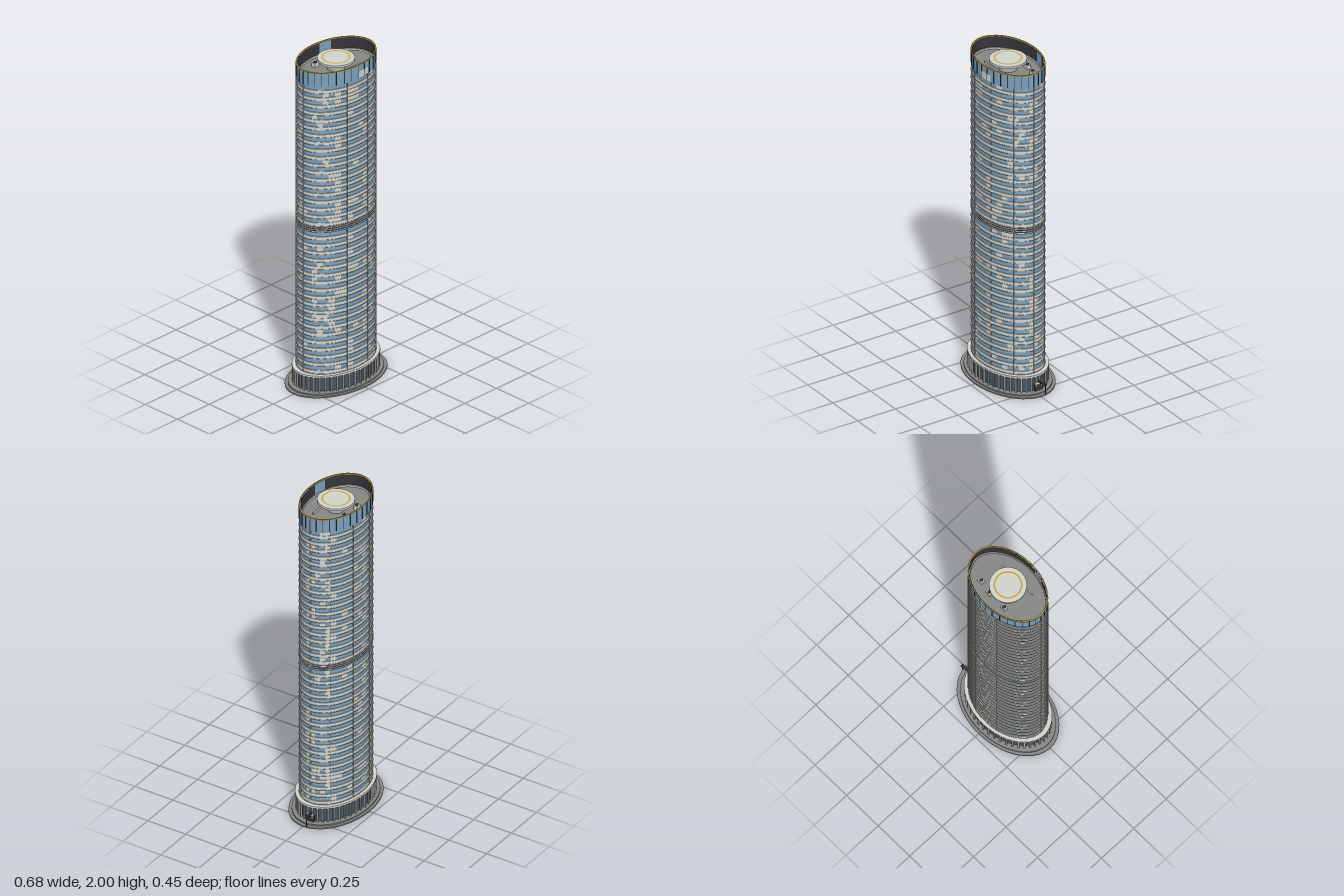
import * as THREE from 'three';
import { mergeGeometries } from 'three/addons/utils/BufferGeometryUtils.js';

const SIDES = 40;
const STEP = (Math.PI * 2) / SIDES;

function mat(name, color) {
  const m = new THREE.MeshStandardMaterial({ color });
  m.name = name;
  return m;
}

// Solid elliptical disc or drum between two heights
function drum(rx, rz, y0, y1, sides = SIDES) {
  return new THREE.CylinderGeometry(1, 1, y1 - y0, sides).scale(rx, 1, rz).translate(0, (y0 + y1) / 2, 0);
}

// One curved facade plate covering n facets from facet i
function plate(rx, rz, y0, y1, i, n = 1) {
  return new THREE.CylinderGeometry(1, 1, y1 - y0, n, 1, true, i * STEP, n * STEP)
    .scale(rx, 1, rz).translate(0, (y0 + y1) / 2, 0);
}

// Elliptical band with a rectangular section
function band(rx, rz, t, y0, y1) {
  const k = 1 - t / rx;
  const pts = [[k, y0], [1, y0], [1, y1], [k, y1], [k, y0]];
  const geos = [];
  for (let i = 0; i < 4; i++) {
    const pair = [pts[i], pts[i + 1]].map(p => new THREE.Vector2(...p));
    geos.push(new THREE.LatheGeometry(pair, SIDES).scale(rx, 1, rz));
  }
  return mergeGeometries(geos);
}

// Upright bars spaced evenly round an ellipse, facing outwards
function posts(count, rx, rz, y0, y1, w, d) {
  const geos = [];
  for (let i = 0; i < count; i++) {
    const a = (i / count) * Math.PI * 2;
    const face = Math.atan2(Math.cos(a) / rx, Math.sin(a) / rz);
    geos.push(new THREE.BoxGeometry(w, y1 - y0, d).rotateY(face)
      .translate(Math.cos(a) * rx, (y0 + y1) / 2, Math.sin(a) * rz));
  }
  return mergeGeometries(geos);
}

function box(w, h, d, x, y, z) {
  return new THREE.BoxGeometry(w, h, d).translate(x, y, z);
}

export function createModel() {
  const model = new THREE.Group();
  model.name = 'tower';
  const white = mat('off white panel', 0xd2d2cd);
  const glass = mat('blue glass', 0x7ba0bc);
  const lobbyGlass = mat('dark lobby glass', 0x465462);
  const grey = mat('grey paving', 0x858584);
  const column = mat('column grey', 0xa9abab);
  const dark = mat('charcoal metal', 0x34343a);
  const gold = mat('gold trim', 0xcaa544);
  dark.side = THREE.DoubleSide;

  const tower = new THREE.Group();
  tower.name = 'towerBody';
  tower.position.x = -0.004;
  model.add(tower);
  const add = (name, geo, material) => {
    const m = new THREE.Mesh(geo, material);
    m.name = name;
    tower.add(m);
    return m;
  };

  // Stepped plinth and colonnaded lobby
  add('plinthLower', drum(0.335, 0.225, 0, 0.008), grey);
  add('plinthUpper', drum(0.313, 0.21, 0.008, 0.016), grey);
  add('lobbyGlass', drum(0.268, 0.18, 0.016, 0.106), lobbyGlass);
  add('lobbyColumns', posts(44, 0.28, 0.19, 0.016, 0.106, 0.009, 0.009), column);
  add('lobbyRoof', drum(0.287, 0.196, 0.105, 0.117), white);

  // Glazed shaft
  const RX = 0.255, RZ = 0.171;
  add('shaftGlass', drum(RX, RZ, 0.117, 1.915), glass);

  // Floor bands and scattered solid panels on the two stacks of floors
  let seed = 7;
  const rand = () => (seed = (seed * 16807) % 2147483647) / 2147483647;
  const density = Array.from({ length: SIDES }, () => 0.03 + 0.2 * rand() * rand());
  for (const i of [1, 3, 9, 10, 13, 36, 38, 29, 20, 23]) density[i] = 0.3;
  const floors = [], slabs = [], panels = [];
  for (const [base, top] of [[0.117, 1.0], [1.04, 1.915]]) {
    const h = (top - base) / 19;
    for (let f = 0; f < 19; f++) {
      const y = base + f * h;
      floors.push(drum(0.26, 0.176, y + 0.003, y + 0.022));
      slabs.push(drum(0.262, 0.178, y, y + 0.004));
      for (let i = 0; i < SIDES; i++) {
        if (rand() < density[i]) panels.push(plate(RX + 0.002, RZ + 0.002, y + 0.02, y + h, i));
      }
    }
  }
  add('floorBands', mergeGeometries(floors), white);
  add('floorSlabs', mergeGeometries(slabs), column);
  add('solidPanels', mergeGeometries(panels), white);
  add('facadeFins', posts(10, 0.259, 0.175, 0.117, 1.915, 0.004, 0.006), column);

  // Louvred plant floor at mid height
  add('plantFloor', drum(0.258, 0.174, 1.0, 1.04), dark);
  const louvres = [1.006, 1.018, 1.03].map(y => drum(0.262, 0.178, y, y + 0.004));
  add('plantLouvres', mergeGeometries(louvres), white);

  // Crown: glass screen, dark lining, mullions and gold rim
  add('crownGlass', plate(0.259, 0.175, 1.912, 1.996, 0, SIDES), glass);
  add('crownLining', plate(0.252, 0.169, 1.912, 1.996, 0, SIDES), dark);
  add('crownMullions', posts(32, 0.259, 0.175, 1.915, 1.996, 0.004, 0.005), dark);
  add('crownPanel', plate(0.261, 0.177, 1.915, 1.958, 0, 2), white);
  add('crownRim', band(0.262, 0.178, 0.009, 1.994, 2.0), gold);
  const windows = [17, 37].map(i => {
    const g = plate(0.25, 0.167, 1.918, 1.994, i, 2);
    g.setIndex(Array.from(g.index.array).reverse()); // faces inwards
    for (const k of ['x', 'z']) {
      const n = g.attributes.normal;
      const c = k === 'x' ? 0 : 2;
      for (let v = 0; v < n.count; v++) n.setComponent(v, c, -n.getComponent(v, c));
    }
    return g;
  });
  add('crownInnerWindows', mergeGeometries(windows), glass);

  // Roof deck with kerb
  add('roofDeck', drum(0.25, 0.167, 1.912, 1.918), grey);
  add('roofKerb', band(0.251, 0.168, 0.006, 1.916, 1.928), white);
  add('roofRail', box(0.242, 0.012, 0.006, 0, 1.926, 0.072), white);

  // Rooftop cooling units
  for (const [x, z] of [[-0.066, -0.095], [0.055, -0.092], [0.135, -0.075]]) {
    add('coolingUnit', box(0.034, 0.024, 0.024, x, 1.93, z), white);
    add('coolingFan', drum(0.01, 0.01, 1.94, 1.945, 16).translate(x, 0, z), dark);
  }

  // Helicopter pad with ring marking
  add('padPedestal', drum(0.05, 0.05, 1.916, 1.972, 24), column);
  add('padDisc', drum(0.105, 0.105, 1.971, 1.984), white);
  const ring = new THREE.RingGeometry(0.071, 0.081, 48).rotateX(-Math.PI / 2);
  add('padRing', ring.translate(0, 1.986, 0), gold);

  // Side entrance: door, lit transom, canopy blade and post
  add('entranceDoor', box(0.012, 0.045, 0.05, 0.279, 0.038, -0.015), dark);
  add('entranceTransom', box(0.008, 0.014, 0.05, 0.283, 0.062, -0.015), white);
  add('entranceLamps', mergeGeometries([-0.032, 0.002].map(z => box(0.006, 0.012, 0.008, 0.286, 0.05, z))), gold);
  const canopy = new THREE.Group();
  canopy.name = 'entranceCanopy';
  canopy.position.set(0.31, 0, -0.023);
  canopy.rotation.y = 0.1;
  const blade = new THREE.Mesh(box(0.062, 0.007, 0.017, 0, 0.07, 0), dark);
  blade.name = 'canopyBlade';
  const post = new THREE.Mesh(box(0.004, 0.062, 0.004, 0.025, 0.038, 0), dark);
  post.name = 'canopyPost';
  canopy.add(blade, post);
  tower.add(canopy);

  return model;
}
